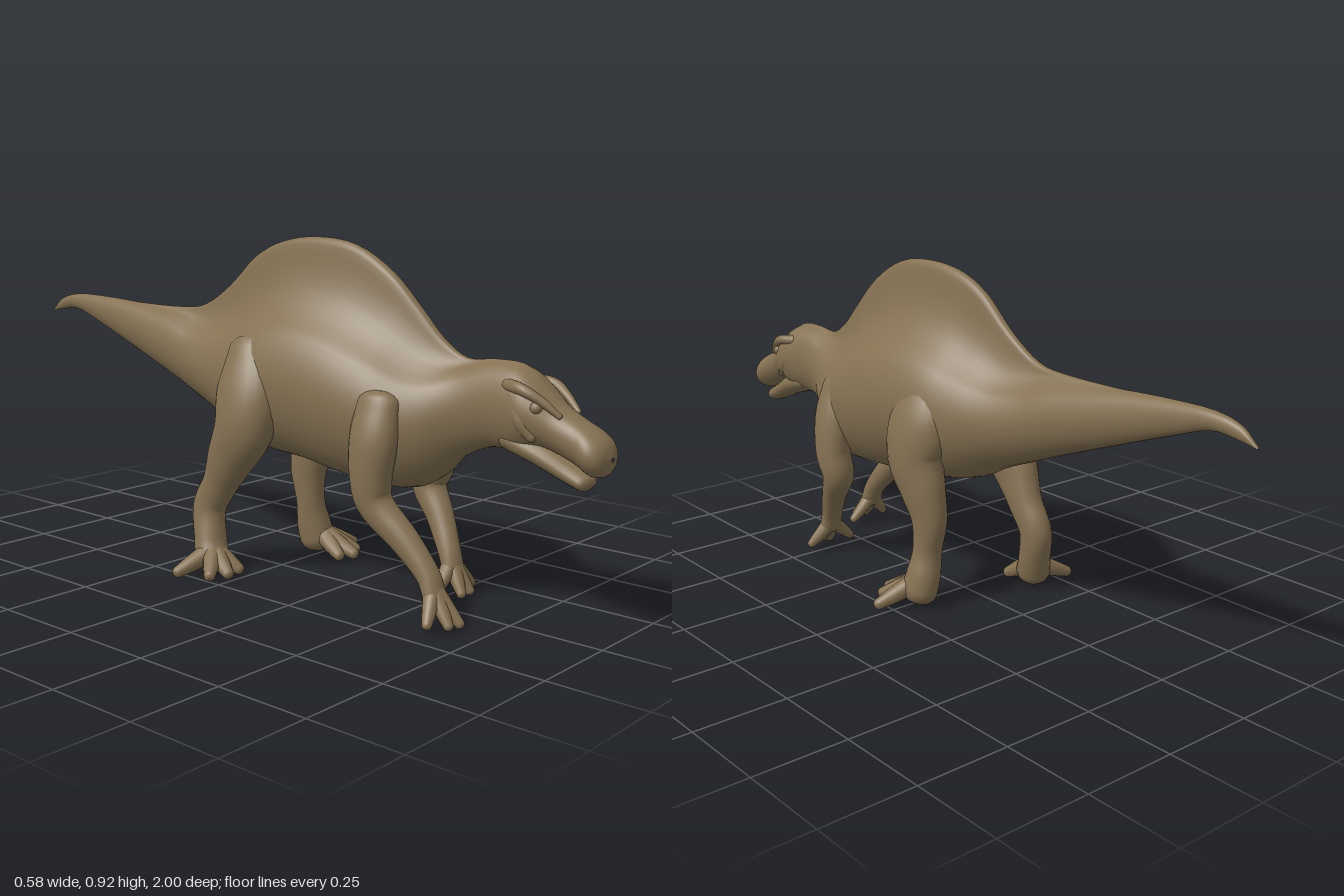
import * as THREE from 'three';

const skin = new THREE.MeshStandardMaterial({ color: 0x857152 });
skin.name = 'brown skin';

// Skin a list of closed rings (counterclockwise about the direction of travel)
function loft(rings, name) {
  const n = rings[0].length, pos = [], idx = [];
  rings.forEach(r => r.forEach(p => pos.push(p.x, p.y, p.z)));
  for (let i = 0; i < rings.length - 1; i++) {
    for (let j = 0; j < n; j++) {
      const k = (j + 1) % n, a = i * n + j, b = i * n + k;
      idx.push(a, b, b + n, a, b + n, a + n);
    }
  }
  const g = new THREE.BufferGeometry();
  g.setAttribute('position', new THREE.Float32BufferAttribute(pos, 3));
  g.setIndex(idx);
  g.computeVertexNormals();
  const mesh = new THREE.Mesh(g, skin);
  mesh.name = name;
  return mesh;
}

const spline = pts => new THREE.CatmullRomCurve3(pts, false, 'catmullrom', 0.5);

// Round-ended tapering limb; each point is [x, y, z, sideRadius, depthRadius]
function limb(name, pts, steps = 28, sides = 20) {
  const path = spline(pts.map(p => new THREE.Vector3(p[0], p[1], p[2])));
  const size = spline(pts.map(p => new THREE.Vector3(p[3], p[4] ?? p[3], 0)));
  const span = path.getPoint(1).sub(path.getPoint(0)).normalize();
  const ref = Math.abs(span.x) > 0.75 ? new THREE.Vector3(0, 0, 1) : new THREE.Vector3(1, 0, 0);
  const stops = [];
  const caps = [0.02, 0.25, 0.5, 0.75].map(f => f * Math.PI / 2);
  caps.forEach(a => stops.push([0, -Math.cos(a), Math.sin(a)]));
  for (let i = 0; i <= steps; i++) stops.push([i / steps, 0, 1]);
  caps.reverse().forEach(a => stops.push([1, Math.cos(a), Math.sin(a)]));
  const rings = stops.map(([t, shift, scale]) => {
    const dir = path.getTangent(t), r = size.getPoint(t);
    const c = path.getPoint(t).addScaledVector(dir, shift * Math.min(r.x, r.y) * 0.8);
    const u = ref.clone().addScaledVector(dir, -ref.dot(dir)).normalize();
    const v = dir.clone().cross(u);
    return Array.from({ length: sides }, (_, j) => {
      const a = j / sides * Math.PI * 2;
      return c.clone().addScaledVector(u, Math.cos(a) * r.x * scale)
        .addScaledVector(v, Math.sin(a) * r.y * scale);
    });
  });
  return loft(rings, name);
}

// Leg or arm with its toes
function leg(name, pts, root, toes, r) {
  const g = new THREE.Group();
  g.name = name;
  g.add(limb(name + 'Limb', pts, 40, 24));
  for (const [x, y, z] of toes) {
    const mid = [root[0] * 0.45 + x * 0.55, root[1] * 0.4 + y * 0.6, root[2] * 0.45 + z * 0.55];
    g.add(limb(name + 'Toe', [[...root, r * 1.4], [...mid, r * 1.1], [x * 0.95 + root[0] * 0.05, y, z * 0.95 + root[2] * 0.05, r * 0.75]], 12, 12));
  }
  return g;
}

function body() {
  // Half section: share of width, share of body height, share of sail height
  const half = spline([
    [0, 0, 0], [0.35, 0.03, 0], [0.65, 0.12, 0], [0.9, 0.3, 0], [1, 0.5, 0], [0.95, 0.68, 0],
    [0.78, 0.84, 0], [0.52, 0.94, 0.02], [0.29, 0.98, 0.24], [0.17, 0.99, 0.57],
    [0.115, 0.995, 0.9], [0.06, 1, 0.98], [0, 1, 1],
  ].map(p => new THREE.Vector3(...p)));
  const section = Array.from({ length: 31 }, (_, i) => half.getPoint(i / 30));
  // Stations from tail tip to snout: z, belly, back, sail top, half width
  const st = [
    [-1, 0.645, 0.65, 0.65, 0.004], [-0.95, 0.655, 0.69, 0.69, 0.012],
    [-0.87, 0.66, 0.708, 0.708, 0.02], [-0.75, 0.62, 0.708, 0.708, 0.03],
    [-0.6, 0.565, 0.7, 0.7, 0.048], [-0.4, 0.49, 0.68, 0.7, 0.078],
    [-0.3, 0.45, 0.66, 0.715, 0.095], [-0.2, 0.41, 0.66, 0.775, 0.12],
    [-0.1, 0.36, 0.69, 0.86, 0.15], [0, 0.335, 0.725, 0.905, 0.17],
    [0.12, 0.325, 0.74, 0.92, 0.175], [0.25, 0.305, 0.72, 0.905, 0.175],
    [0.37, 0.295, 0.675, 0.84, 0.165], [0.46, 0.3, 0.63, 0.755, 0.145],
    [0.53, 0.335, 0.615, 0.685, 0.115], [0.6, 0.4, 0.625, 0.645, 0.08],
    [0.68, 0.435, 0.645, 0.65, 0.068], [0.75, 0.435, 0.645, 0.648, 0.073],
    [0.79, 0.445, 0.628, 0.63, 0.078], [0.83, 0.455, 0.595, 0.595, 0.07],
    [0.87, 0.445, 0.56, 0.56, 0.058], [0.92, 0.425, 0.533, 0.533, 0.055],
    [0.96, 0.405, 0.512, 0.512, 0.062], [0.988, 0.412, 0.488, 0.488, 0.046],
    [1, 0.445, 0.455, 0.455, 0.006],
  ];
  const a = spline(st.map(s => new THREE.Vector3(s[0], s[1], s[2])));
  const b = spline(st.map(s => new THREE.Vector3(s[3], s[4], 0)));
  const N = (st.length - 1) * 4, rings = [];
  for (let i = 0; i <= N; i++) {
    const { x: z, y: belly, z: back } = a.getPoint(i / N);
    const { x: top, y: w } = b.getPoint(i / N);
    const point = (p, s) => new THREE.Vector3(s * p.x * w, belly + p.y * (back - belly) + p.z * Math.max(0, top - back), z);
    rings.push([
      ...section.map(p => point(p, 1)),
      ...section.slice(1, -1).reverse().map(p => point(p, -1)),
    ]);
  }
  return loft(rings, 'bodyWithSailAndTail');
}

export function createModel() {
  const model = new THREE.Group();
  model.name = 'sailBackedDinosaur';

  // Body, head and jaw
  const torso = new THREE.Group();
  torso.name = 'torso';
  torso.position.x = 0.01;
  torso.add(body());
  torso.add(limb('lowerJaw', [
    [0, 0.47, 0.74, 0.055, 0.035], [0, 0.442, 0.82, 0.052, 0.032],
    [0, 0.408, 0.89, 0.042, 0.026], [0, 0.388, 0.935, 0.038, 0.022],
  ]));
  for (const s of [-1, 1]) {
    torso.add(limb('brow', [
      [s * 0.05, 0.6, 0.75, 0.016], [s * 0.068, 0.596, 0.8, 0.014],
      [s * 0.056, 0.572, 0.845, 0.011], [s * 0.042, 0.54, 0.885, 0.007],
    ], 16, 12));
    torso.add(limb('cheek', [
      [s * 0.055, 0.58, 0.77, 0.017], [s * 0.06, 0.525, 0.79, 0.02], [s * 0.052, 0.485, 0.82, 0.014],
    ], 16, 12));
    const eye = new THREE.Mesh(new THREE.SphereGeometry(0.015, 16, 12), skin);
    eye.name = 'eye';
    eye.position.set(s * 0.058, 0.556, 0.832);
    torso.add(eye);
  }
  model.add(torso);

  // Hind legs, the left one stepping forward
  model.add(leg('leftHindLeg', [
    [0.1, 0.62, 0, 0.05, 0.07], [0.135, 0.52, 0.01, 0.068, 0.105], [0.15, 0.42, 0.022, 0.068, 0.095],
    [0.152, 0.33, -0.01, 0.055, 0.075], [0.147, 0.25, -0.03, 0.045, 0.057], [0.15, 0.16, -0.025, 0.04, 0.042],
    [0.162, 0.09, -0.022, 0.046, 0.05], [0.17, 0.045, -0.015, 0.048, 0.052],
  ], [0.17, 0.065, 0], [[0.285, 0.018, 0.03], [0.225, 0.018, 0.09], [0.18, 0.018, 0.12], [0.135, 0.018, 0.1]], 0.021));
  model.add(leg('rightHindLeg', [
    [-0.1, 0.62, -0.02, 0.05, 0.07], [-0.13, 0.52, 0, 0.068, 0.1], [-0.15, 0.42, 0, 0.068, 0.09],
    [-0.15, 0.33, -0.05, 0.055, 0.072], [-0.145, 0.25, -0.095, 0.045, 0.053], [-0.148, 0.175, -0.135, 0.042, 0.05],
    [-0.16, 0.09, -0.12, 0.046, 0.045], [-0.17, 0.045, -0.105, 0.048, 0.048],
  ], [-0.17, 0.065, -0.1], [[-0.285, 0.018, -0.13], [-0.25, 0.018, -0.035], [-0.2, 0.018, -0.01], [-0.145, 0.018, -0.02]], 0.021));

  // Front legs, the right one reaching forward
  model.add(leg('leftFrontLeg', [
    [0.12, 0.53, 0.42, 0.04, 0.06], [0.142, 0.44, 0.42, 0.05, 0.066], [0.155, 0.34, 0.41, 0.05, 0.055],
    [0.15, 0.27, 0.395, 0.047, 0.046], [0.135, 0.2, 0.44, 0.037, 0.038], [0.115, 0.12, 0.485, 0.032, 0.03],
    [0.11, 0.075, 0.502, 0.035, 0.026],
  ], [0.11, 0.09, 0.497], [[0.035, 0.025, 0.505], [0.085, 0.016, 0.55], [0.125, 0.016, 0.55], [0.175, 0.022, 0.52]], 0.017));
  model.add(leg('rightFrontLeg', [
    [-0.12, 0.53, 0.43, 0.04, 0.06], [-0.138, 0.44, 0.43, 0.05, 0.066], [-0.14, 0.34, 0.425, 0.05, 0.055],
    [-0.135, 0.275, 0.44, 0.046, 0.046], [-0.125, 0.2, 0.52, 0.037, 0.038], [-0.12, 0.13, 0.585, 0.032, 0.03],
    [-0.12, 0.08, 0.61, 0.035, 0.026],
  ], [-0.12, 0.095, 0.605], [[-0.045, 0.025, 0.61], [-0.105, 0.016, 0.68], [-0.14, 0.016, 0.67], [-0.185, 0.022, 0.635]], 0.017));

  return model;
}
